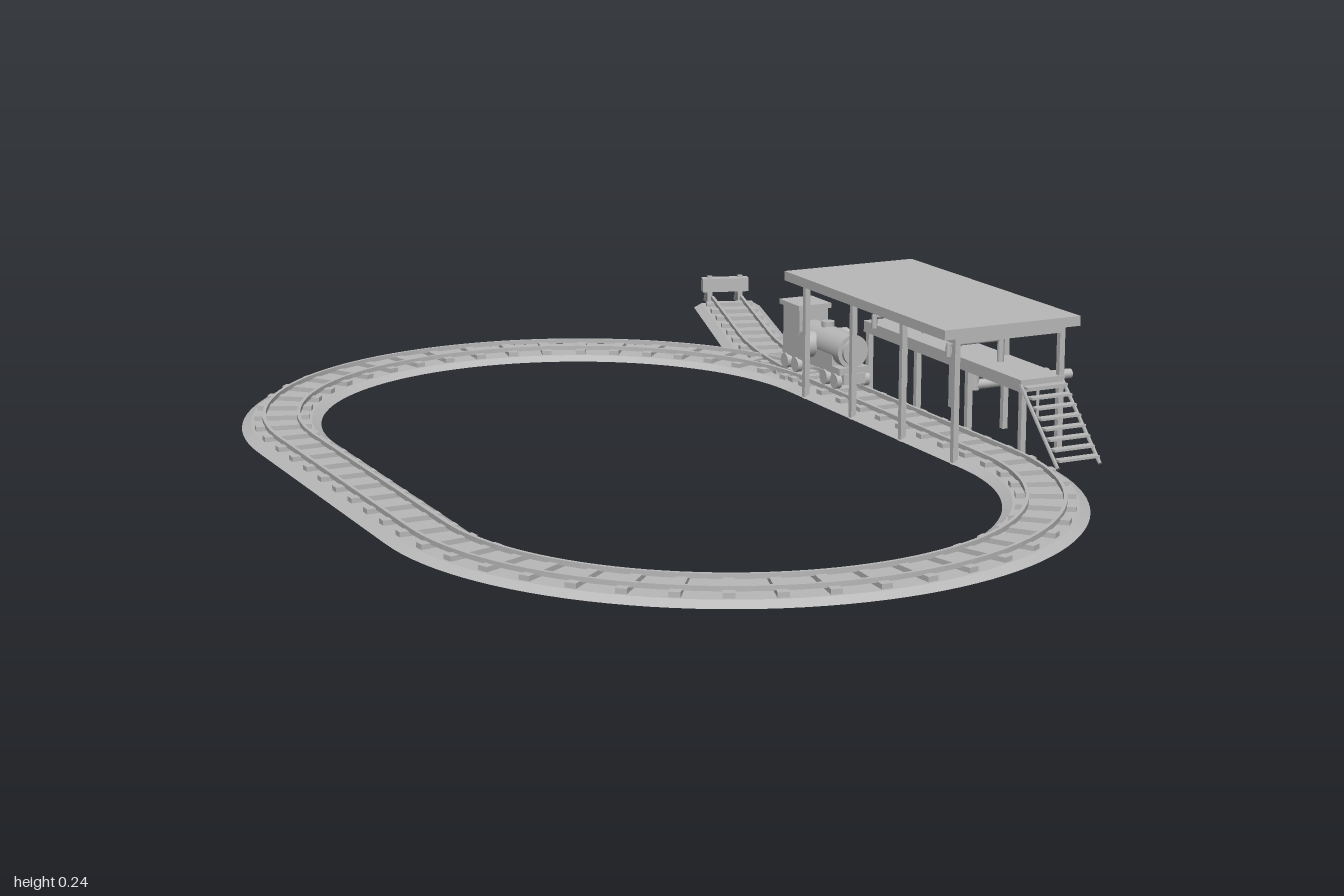
import * as THREE from 'three';

const grey = new THREE.MeshStandardMaterial({ color: 0xb8b8b8 });
grey.name = 'plain grey';

function add(parent, geometry, name, x = 0, y = 0, z = 0) {
  const mesh = new THREE.Mesh(geometry, grey);
  mesh.name = name;
  mesh.position.set(x, y, z);
  parent.add(mesh);
  return mesh;
}

// box from minimum and maximum corners
function box(parent, name, [x0, y0, z0], [x1, y1, z1]) {
  return add(parent, new THREE.BoxGeometry(x1 - x0, y1 - y0, z1 - z0), name,
    (x0 + x1) / 2, (y0 + y1) / 2, (z0 + z1) / 2);
}

// straight rod between two points
function rod(parent, name, from, to, r, sides = 12) {
  const a = new THREE.Vector3(...from), b = new THREE.Vector3(...to);
  const d = b.clone().sub(a);
  const mesh = add(parent, new THREE.CylinderGeometry(r, r, d.length(), sides), name);
  mesh.position.copy(a).add(b).multiplyScalar(0.5);
  mesh.quaternion.setFromUnitVectors(new THREE.Vector3(0, 1, 0), d.normalize());
  return mesh;
}

// sweep a counter-clockwise profile [across, height] along a ground path (path y = -z)
function sweep(path, profile, steps, closed) {
  const pos = [], n = profile.length;
  const rings = Array.from({ length: steps + 1 }, (_, i) => {
    const p = path.getPoint(i / steps), t = path.getTangent(i / steps);
    return profile.map(([u, y]) => [p.x + t.y * u, y, -(p.y - t.x * u)]);
  });
  for (let i = 0; i < steps; i++) {
    for (let j = 0; j < n; j++) {
      const a = rings[i][j], b = rings[i][(j + 1) % n];
      const c = rings[i + 1][j], d = rings[i + 1][(j + 1) % n];
      pos.push(...a, ...c, ...b, ...b, ...c, ...d);
    }
  }
  if (!closed) {
    const s = rings[0], e = rings[steps];
    for (let j = 1; j < n - 1; j++) pos.push(...s[0], ...s[j], ...s[j + 1], ...e[0], ...e[j + 1], ...e[j]);
  }
  const g = new THREE.BufferGeometry();
  g.setAttribute('position', new THREE.Float32BufferAttribute(pos, 3));
  g.computeVertexNormals();
  return g;
}

// ballast bed, sleepers and two rails along a path
function track(parent, name, path, steps, ties, closed, lift = 0) {
  const g = new THREE.Group();
  g.name = name;
  g.position.y = lift;
  parent.add(g);
  add(g, sweep(path, [[-0.069, 0.006], [0.069, 0.006], [0.053, 0.015], [-0.053, 0.015]], steps, closed), 'ballast');
  for (const s of [-0.03, 0.03]) {
    add(g, sweep(path, [[s - 0.003, 0.021], [s + 0.003, 0.021], [s + 0.003, 0.029], [s - 0.003, 0.029]], steps, closed), 'rail');
  }
  const tie = new THREE.BoxGeometry(0.096, 0.009, 0.018);
  for (let i = 0; i < ties; i++) {
    const t = (i + 0.5) / ties, p = path.getPoint(t), d = path.getTangent(t);
    add(g, tie, 'sleeper', p.x, 0.0185, -p.y).rotation.y = Math.atan2(d.y, d.x) - Math.PI / 2;
  }
}

function bufferStop(parent) {
  const g = new THREE.Group();
  g.name = 'bufferStop';
  g.position.set(0.563, 0, -0.942);
  g.rotation.y = -0.31;
  parent.add(g);
  box(g, 'bufferBeam', [-0.048, 0.034, -0.01], [0.048, 0.062, 0.014]);
  for (const x of [-0.032, 0.032]) {
    box(g, 'bufferPost', [x - 0.005, 0, -0.004], [x + 0.005, 0.066, 0.006]);
    rod(g, 'bufferBrace', [x, 0.055, -0.005], [x, 0.004, -0.052], 0.005, 4);
  }
}

function locomotive(parent) {
  const g = new THREE.Group();
  g.name = 'locomotive';
  g.position.set(0.384, 0, -0.18);
  parent.add(g);
  box(g, 'frame', [-0.03, 0.055, -0.11], [0.03, 0.068, 0.108]);
  // boiler lying along the track
  rod(g, 'boiler', [0, 0.096, -0.05], [0, 0.096, 0.104], 0.031, 24);
  rod(g, 'boilerDoor', [0, 0.096, 0.104], [0, 0.096, 0.111], 0.023, 24);
  rod(g, 'steamDome', [0, 0.12, 0.01], [0, 0.135, 0.01], 0.012, 16);
  // cab with roof
  box(g, 'cab', [-0.03, 0.066, -0.108], [0.03, 0.148, -0.045]);
  box(g, 'cabRoof', [-0.034, 0.147, -0.117], [0.034, 0.156, -0.04]);
  for (const s of [-1, 1]) {
    rod(g, 'sideDisc', [s * 0.025, 0.093, 0], [s * 0.045, 0.093, 0], 0.024, 24);
    box(g, 'sideTank', [s * 0.02 - 0.01, 0.066, -0.05], [s * 0.02 + 0.01, 0.1, 0.08]);
  }
  // bogies with two axles each
  for (const z of [-0.075, 0.075]) {
    box(g, 'bogie', [-0.022, 0.038, z - 0.037], [0.022, 0.057, z + 0.037]);
    for (const dz of [-0.02, 0.02]) {
      for (const s of [-1, 1]) rod(g, 'wheel', [s * 0.024, 0.043, z + dz], [s * 0.034, 0.043, z + dz], 0.014, 16);
    }
  }
}

function station(parent) {
  const g = new THREE.Group();
  g.name = 'loadingStation';
  parent.add(g);
  box(g, 'roof', [0.29, 0.22, -0.165], [0.555, 0.237, 0.397]);
  const rows = [0.385, 0.212, 0.038, -0.135];
  for (const z of rows) {
    for (const x of [0.32, 0.525]) box(g, 'roofPost', [x - 0.005, 0.004, z - 0.005], [x + 0.005, 0.222, z + 0.005]);
    box(g, 'deckPost', [0.447, 0.004, z - 0.005], [0.457, 0.118, z + 0.005]);
    box(g, 'roofBeam', [0.315, 0.21, z - 0.005], [0.53, 0.221, z + 0.005]);
  }
  for (const x of [0.32, 0.525]) box(g, 'roofPurlin', [x - 0.005, 0.21, -0.14], [x + 0.005, 0.221, 0.39]);
  box(g, 'deck', [0.443, 0.115, -0.142], [0.53, 0.136, 0.392]);

  // filling pipes reaching over the track
  for (const z of [0.255, 0]) {
    rod(g, 'pipeStand', [0.488, 0.13, z], [0.488, 0.178, z], 0.006);
    rod(g, 'pipeArm', [0.384, 0.176, z], [0.492, 0.176, z], 0.004);
    rod(g, 'pipeSpout', [0.384, 0.155, z], [0.384, 0.179, z], 0.005);
  }
  rod(g, 'hanger', [0.488, 0.13, 0.125], [0.488, 0.222, 0.125], 0.0018, 8);

  // stairs down from the deck
  const count = 8;
  for (let i = 0; i < count; i++) {
    const y = 0.126 - i * 0.0145, z = 0.392 + i * 0.0145;
    box(g, 'stairTread', [0.447, y - 0.004, z], [0.526, y, z + 0.016]);
  }
  for (const x of [0.445, 0.528]) rod(g, 'stairStringer', [x, 0.128, 0.388], [x, 0.01, 0.508], 0.004, 4);

  // supply pipe with valve
  const z = 0.152;
  rod(g, 'supplyPipe', [0.5, 0.072, z], [0.7, 0.072, z], 0.009, 16);
  rod(g, 'supplyRiser', [0.5, 0.063, z], [0.5, 0.118, z], 0.009, 16);
  rod(g, 'valveBody', [0.628, 0.072, z], [0.652, 0.072, z], 0.015, 16);
  rod(g, 'pipeSupport', [0.633, 0, z], [0.633, 0.072, z], 0.003, 8);
}

export function createModel() {
  const model = new THREE.Group();
  model.name = 'railwayLoop';

  // oval loop
  const oval = new THREE.Path();
  oval.moveTo(0.382, -0.422).lineTo(0.382, 0.187);
  oval.absarc(-0.125, 0.187, 0.507, 0, Math.PI, false);
  oval.lineTo(-0.632, -0.422);
  oval.absarc(-0.125, -0.422, 0.507, Math.PI, Math.PI * 2, false);
  track(model, 'ovalTrack', oval, 160, 62, true);

  // siding curving away to the back
  const spur = new THREE.Path();
  spur.moveTo(0.382, 0.187);
  spur.absarc(1.642, 0.187, 1.26, Math.PI, Math.PI - 0.314, true);
  spur.lineTo(0.553, 0.912);
  track(model, 'sidingTrack', spur, 30, 11, false, 0.0004);

  bufferStop(model);
  locomotive(model);
  station(model);
  return model;
}
